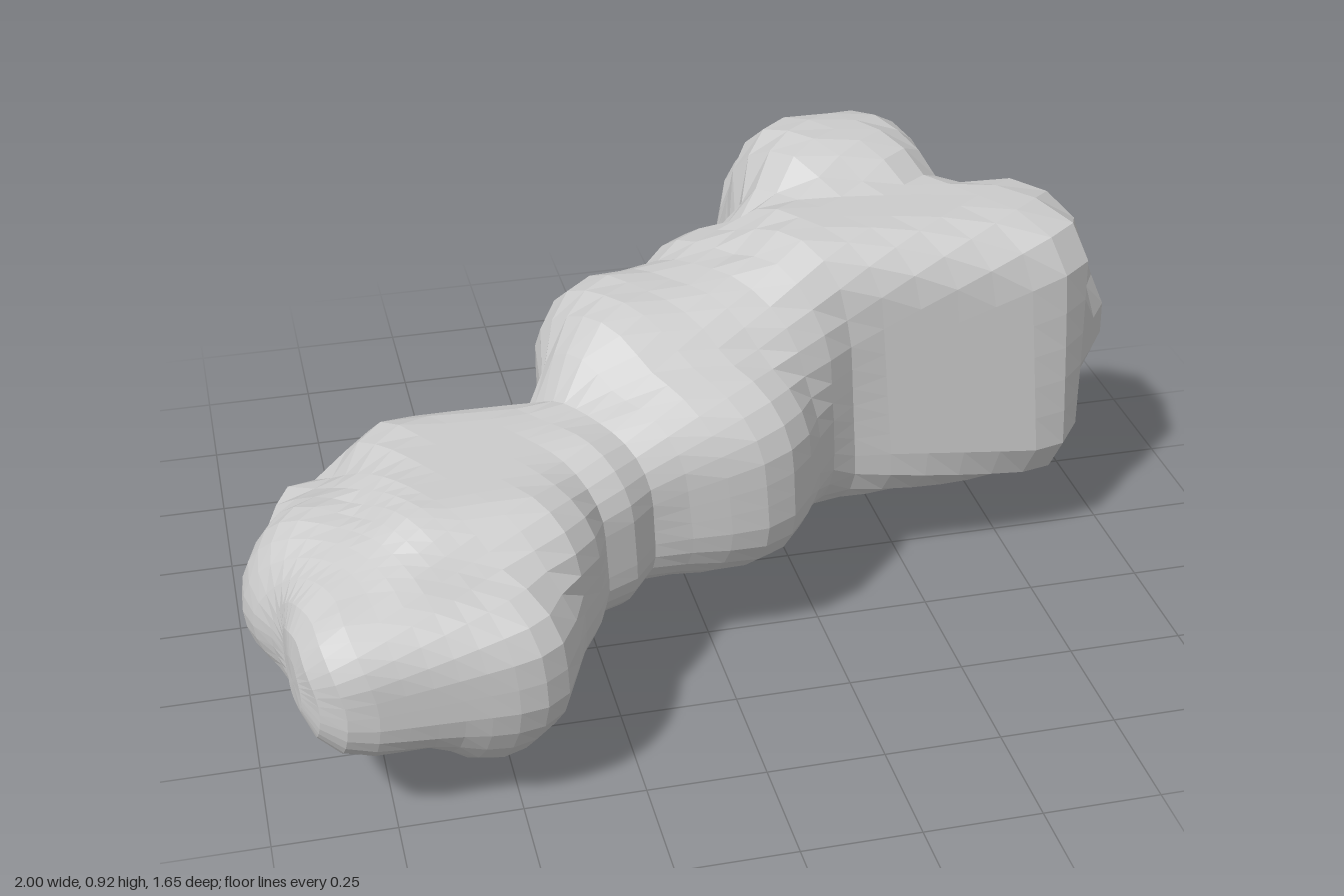
import * as THREE from 'three';

// Lumps that make up the rock: x0, x1, y0, y1, z0, z1, edge radius (0 = ellipsoid)
const LUMPS = [
  // small end
  [-0.92, -0.37, 0.18, 0.51, 0.42, 0.825, 0.13],
  [-0.92, -0.45, 0.19, 0.50, 0.16, 0.70, 0.08],
  [-0.78, -0.29, 0.18, 0.60, 0.08, 0.66, 0.14],
  [-1.00, -0.70, 0.18, 0.50, 0.24, 0.56, 0],
  [-0.95, -0.59, 0.02, 0.40, 0.18, 0.49, 0],
  [-0.70, -0.40, 0.10, 0.40, 0.50, 0.80, 0],
  // neck
  [-0.45, -0.14, 0.19, 0.61, 0.09, 0.49, 0.15],
  [-0.26, 0.23, 0.19, 0.67, 0.00, 0.405, 0.18],
  [-0.32, 0.16, 0.19, 0.76, -0.19, 0.26, 0.18],
  [-0.08, 0.36, 0.19, 0.785, -0.30, 0.23, 0.18],
  // large end: front slab, main body, back, side bulge, underside, corner tip
  [0.12, 0.91, 0.185, 0.85, -0.22, 0.15, 0.13],
  [0.20, 0.65, 0.12, 0.925, -0.52, -0.12, 0.16],
  [0.16, 0.65, 0.12, 0.86, -0.68, -0.04, 0],
  [0.23, 0.61, 0.13, 0.80, -0.74, -0.32, 0.18],
  [0.40, 0.64, 0.28, 0.60, -0.83, -0.55, 0],
  [0.45, 0.82, 0.11, 0.60, -0.60, -0.24, 0.15],
  [0.22, 0.81, 0.11, 0.50, -0.59, -0.13, 0.12],
  [0.27, 0.66, 0.00, 0.40, -0.57, -0.19, 0],
  [0.74, 1.00, 0.36, 0.68, -0.26, 0.06, 0],
];
// Blocks turned to lie along the rock, given in the turned frame
const TURNED = [
  [-1.05, -0.50, 0.17, 0.54, -0.20, 0.33, 0.14],
  [-0.30, 0.20, 0.20, 0.62, -0.17, 0.34, 0.17],
  [0.48, 0.74, 0.15, 0.84, -0.32, 0.40, 0.18],
  [0.50, 0.80, 0.14, 0.74, -0.36, 0.38, 0.17],
  [0.45, 0.87, 0.13, 0.62, -0.40, 0.38, 0.16],
];
const YAW = 0.52;
const BLEND = 0.04;

const toLump = (turn) => ([x0, x1, y0, y1, z0, z1, r]) => ({
  centre: new THREE.Vector3(x0 + x1, y0 + y1, z0 + z1).multiplyScalar(0.5),
  half: new THREE.Vector3(x1 - x0, y1 - y0, z1 - z0).multiplyScalar(0.5),
  r,
  cos: Math.cos(turn),
  sin: Math.sin(turn),
});
const ROCK = [...LUMPS.map(toLump(0)), ...TURNED.map(toLump(YAW))];

const ZERO = new THREE.Vector3();
const q = new THREE.Vector3();
function lumpDistance(p, { centre, half, r, cos, sin }) {
  q.set(cos * p.x - sin * p.z, p.y, sin * p.x + cos * p.z).sub(centre);
  if (r === 0) return (q.divide(half).length() - 1) * Math.min(half.x, half.y, half.z);
  q.set(Math.abs(q.x), Math.abs(q.y), Math.abs(q.z)).sub(half).addScalar(r);
  const inside = Math.min(Math.max(q.x, q.y, q.z), 0);
  return q.max(ZERO).length() + inside - r;
}

// Softly blended distance to all lumps
function rockDistance(p) {
  return ROCK.reduce((d, lump) => {
    const e = lumpDistance(p, lump);
    const h = Math.max(BLEND - Math.abs(d - e), 0) / BLEND;
    return Math.min(d, e) - (h * h * BLEND) / 4;
  }, 10);
}

// Outermost surface point on a ray leaving the spine
function surfacePoint(origin, direction) {
  const p = new THREE.Vector3();
  const at = (r) => p.copy(origin).addScaledVector(direction, r);
  let outer = 0.8;
  while (outer > 0.02 && rockDistance(at(outer)) > 0) outer -= 0.02;
  let inner = outer;
  outer += 0.02;
  for (let i = 0; i < 8; i++) {
    const middle = (inner + outer) / 2;
    if (rockDistance(at(middle)) > 0) outer = middle;
    else inner = middle;
  }
  return at(inner);
}

function rockGeometry() {
  const SIDES = 40, CAP = 11, BODY = 20;
  const start = new THREE.Vector3(-0.62, 0.36, 0.47);
  const end = new THREE.Vector3(0.55, 0.47, -0.3);
  const along = end.clone().sub(start).normalize();
  const side = new THREE.Vector3(-along.z, 0, along.x).normalize();
  const up = side.clone().cross(along);

  // Rings: a fan round the start, stations along the spine, a fan round the end
  const rings = [];
  for (let i = 0; i < CAP; i++) rings.push([0, (i / CAP - 1) * Math.PI / 2]);
  for (let i = 0; i <= BODY; i++) rings.push([i / BODY, 0]);
  for (let i = 1; i <= CAP; i++) rings.push([1, (i / CAP) * Math.PI / 2]);

  const positions = [];
  const index = [];
  rings.forEach(([u, tilt], i) => {
    const origin = start.clone().lerp(end, u);
    for (let j = 0; j < SIDES; j++) {
      const a = (j / SIDES) * Math.PI * 2;
      const direction = along.clone().multiplyScalar(Math.sin(tilt))
        .addScaledVector(side, Math.cos(tilt) * Math.cos(a))
        .addScaledVector(up, Math.cos(tilt) * Math.sin(a));
      positions.push(...surfacePoint(origin, direction).toArray());
      if (i === rings.length - 1) continue;
      const A = i * SIDES + j, B = i * SIDES + (j + 1) % SIDES;
      // Single triangles at the two poles, pairs elsewhere
      if (i > 0) index.push(A, A + SIDES, B);
      if (i < rings.length - 2) index.push(B, A + SIDES, B + SIDES);
    }
  });

  const geometry = new THREE.BufferGeometry();
  geometry.setAttribute('position', new THREE.Float32BufferAttribute(positions, 3));
  geometry.setIndex(index);
  geometry.computeVertexNormals();
  return geometry;
}

export function createModel() {
  const group = new THREE.Group();
  group.name = 'boulder';
  const rock = new THREE.Mesh(
    rockGeometry(),
    new THREE.MeshStandardMaterial({ color: 0xcccccc, flatShading: true }),
  );
  rock.name = 'rockBody';
  group.add(rock);
  return group;
}
